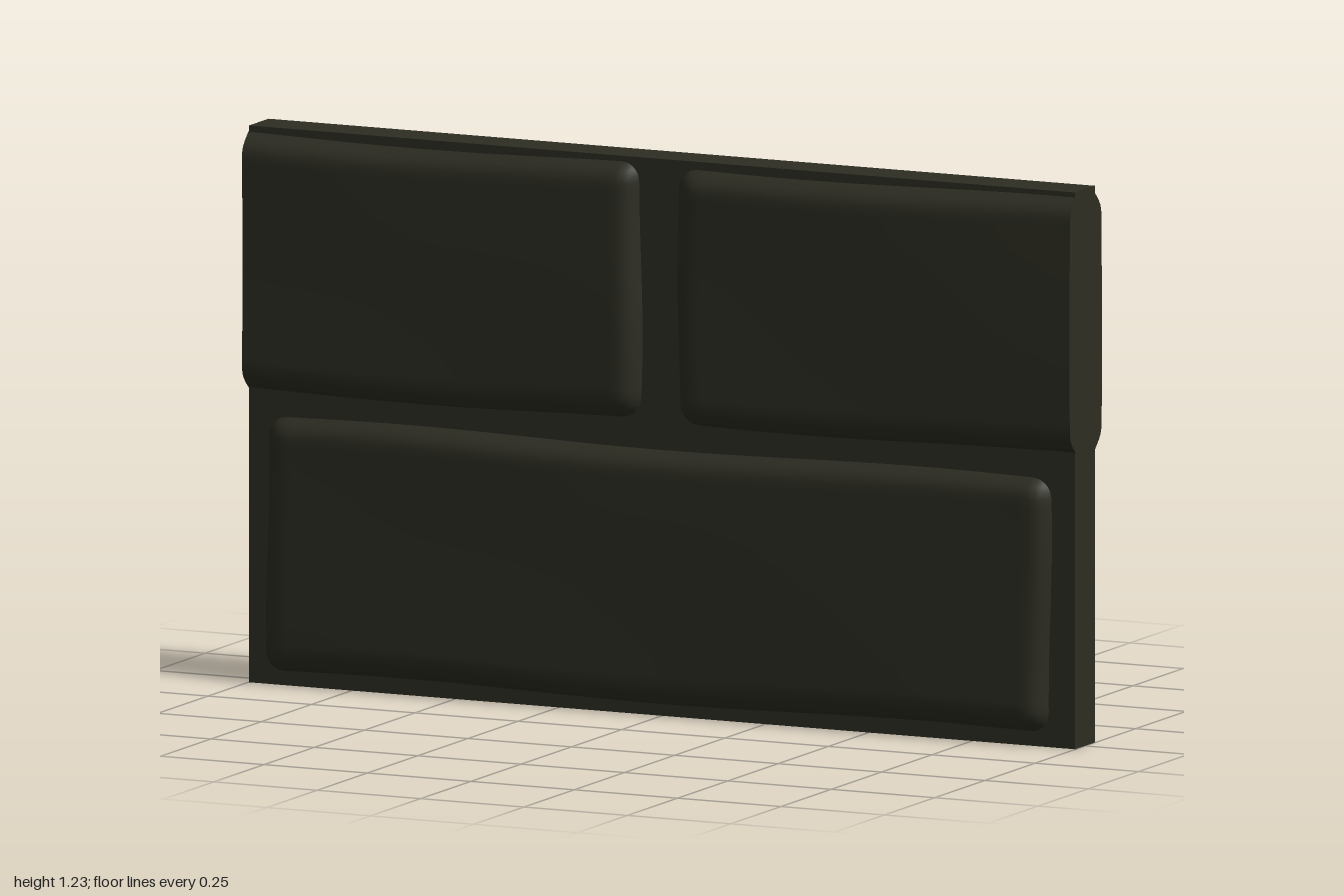
import * as THREE from 'three';

const stone = new THREE.MeshStandardMaterial({ color: 0x2d2d23 });
stone.name = 'darkStone';

// Grid positions from a to b, packed tightly near both ends where the edge rounds over
function gridLine(a, b, inner) {
  const edge = [0, 0.008, 0.018, 0.03, 0.046, 0.065];
  const line = edge.map(e => a + e);
  const start = a + 0.065, end = b - 0.065;
  for (let i = 1; i < inner; i++) line.push(start + (end - start) * i / inner);
  return line.concat(edge.map(e => b - e).reverse());
}

// A worn, pillow-shaped brick that shows on both faces of the wall.
// openLeft and openRight tell whether that end is rounded or cut flush.
function brick(name, x0, x1, y0, y1, openLeft, openRight, seed) {
  const xs = gridLine(x0, x1, 16), ys = gridLine(y0, y1, 8);
  const geo = new THREE.BoxGeometry(1, 1, 1, xs.length - 1, ys.length - 1, 1);
  const pos = geo.attributes.position;
  const corner = 0.045, round = 0.045;
  for (let i = 0; i < pos.count; i++) {
    const x = xs[Math.round((pos.getX(i) + 0.5) * (xs.length - 1))];
    const y = ys[Math.round((pos.getY(i) + 0.5) * (ys.length - 1))];
    const side = Math.sign(pos.getZ(i));

    // distance to the rounded outline
    const dx = Math.min(openLeft ? x - x0 : 1, openRight ? x1 - x : 1);
    const dy = Math.min(y - y0, y1 - y);
    const px = Math.max(corner - dx, 0), py = Math.max(corner - dy, 0);
    const d = px > 0 && py > 0 ? corner - Math.hypot(px, py) : Math.min(dx, dy);

    // rounded edge, then a gently uneven face
    const t = Math.min(Math.max(d / round, 0), 1);
    const bump = 0.002 * t * (Math.sin(7 * x + seed + side) + Math.sin(9 * y + 4 * x + seed));
    const z = 0.048 + 0.031 * Math.sin(t * Math.PI / 2) + Math.min(d, 0) + bump;

    // wavy outline, leaving flush ends straight
    const wave = 0.005 * Math.sin(5 * x + seed + side);
    const sway = dx < 0.2 ? 0.004 * Math.sin(9 * y + seed) : 0;
    pos.setXYZ(i, x + sway, y + wave, side * z);
  }
  geo.computeVertexNormals();
  const mesh = new THREE.Mesh(geo, stone);
  mesh.name = name;
  return mesh;
}

export function createModel() {
  const wall = new THREE.Group();
  wall.name = 'brickWall';

  // Mortar slab behind the bricks
  const mortar = new THREE.Mesh(new THREE.BoxGeometry(1.998, 1.228, 0.098), stone);
  mortar.position.y = 0.614;
  mortar.name = 'mortarSlab';
  wall.add(mortar);

  // Two half bricks above, one full brick below
  wall.add(
    brick('upperRightBrick', -1, -0.05, 0.648, 1.213, false, true, 0.4),
    brick('upperLeftBrick', 0.04, 1, 0.648, 1.213, true, false, 2.1),
    brick('lowerBrick', -0.955, 0.94, 0.03, 0.592, true, true, 3.7)
  );
  return wall;
}
